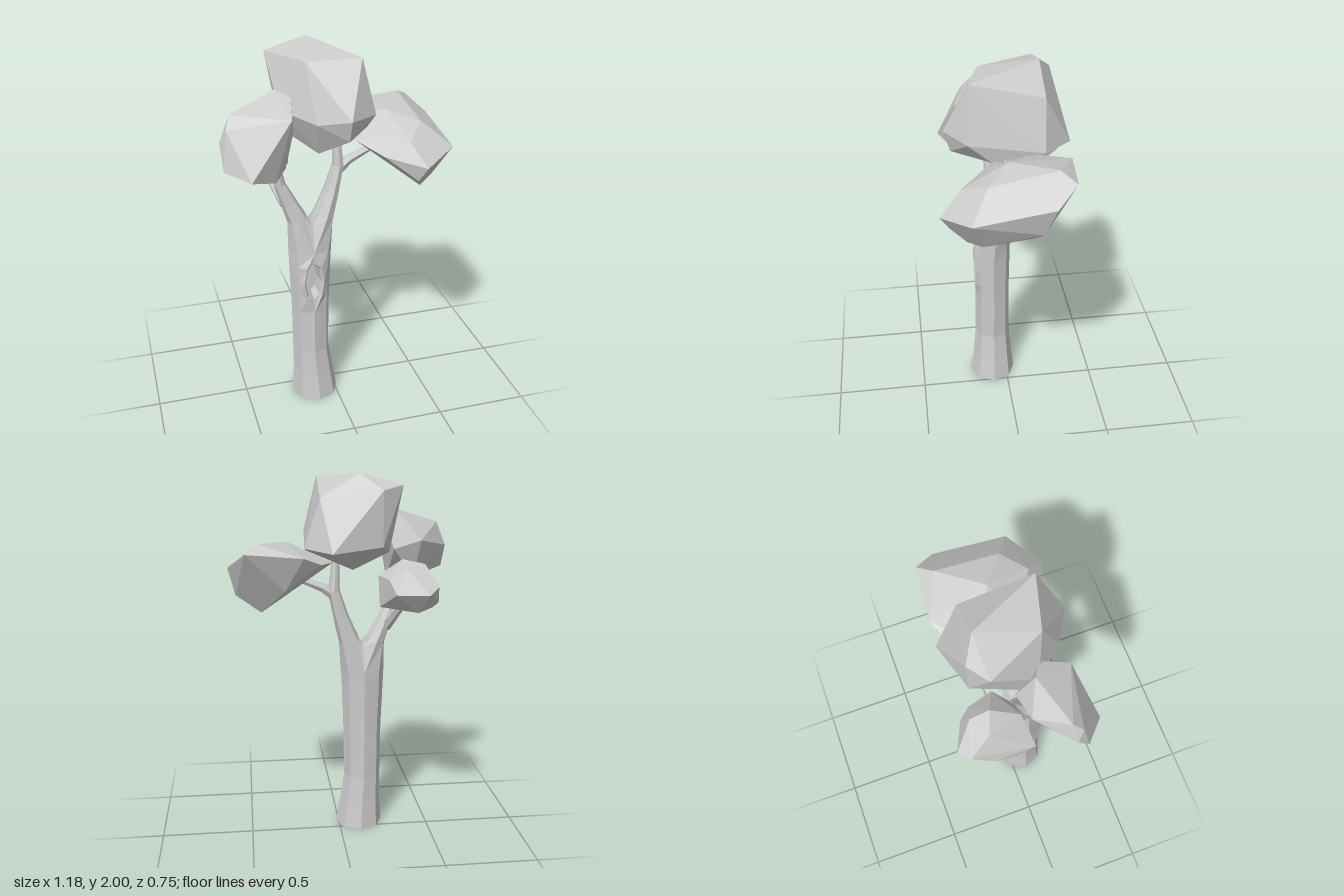
import * as THREE from 'three';
import { ConvexGeometry } from 'three/addons/geometries/ConvexGeometry.js';

const V = (x, y, z) => new THREE.Vector3(x, y, z);
const material = new THREE.MeshStandardMaterial({ color: 0xcccccc, flatShading: true });

// Skin a list of equal-length rings; optional gap in the last column, optional end caps
function loft(rings, { gap = false, capStart = false, capEnd = true } = {}) {
  const pos = [];
  const tri = (a, b, c) => pos.push(...a.toArray(), ...b.toArray(), ...c.toArray());
  const n = rings[0].length;
  for (let r = 0; r < rings.length - 1; r++) {
    for (let i = 0; i < (gap ? n - 1 : n); i++) {
      const j = (i + 1) % n, lo = rings[r], hi = rings[r + 1];
      tri(lo[i], lo[j], hi[j]);
      tri(lo[i], hi[j], hi[i]);
    }
  }
  const first = rings[0], last = rings[rings.length - 1];
  for (let i = 1; i < n - 1; i++) {
    if (capStart) tri(first[0], first[i + 1], first[i]);
    if (capEnd) tri(last[0], last[i], last[i + 1]);
  }
  const g = new THREE.BufferGeometry();
  g.setAttribute('position', new THREE.Float32BufferAttribute(pos, 3));
  g.computeVertexNormals();
  return g;
}

// Rings square to a path of stations [x, y, z, rx, rz]
function limbRings(stations, sides) {
  const p = stations.map(s => V(s[0], s[1], s[2]));
  return stations.map((s, k) => {
    const dir = p[Math.min(k + 1, p.length - 1)].clone().sub(p[Math.max(k - 1, 0)]).normalize();
    const q = new THREE.Quaternion().setFromUnitVectors(V(0, 1, 0), dir);
    return Array.from({ length: sides }, (_, i) => {
      const a = i / sides * Math.PI * 2;
      return V(s[3] * Math.sin(a), 0, (s[4] ?? s[3]) * Math.cos(a)).applyQuaternion(q).add(p[k]);
    });
  });
}

export function createModel() {
  const tree = new THREE.Group();
  tree.name = 'tree';
  const add = (name, geometry) => {
    const m = new THREE.Mesh(geometry, material);
    m.name = name;
    tree.add(m);
  };

  // Trunk: eight sides, the front edge opening by half-width w around the hollow
  const trunkRows = [ // y, cx, cz, rx, rz, w
    [0, -0.115, 0.08, 0.13, 0.13, 0],
    [0.15, -0.122, 0.077, 0.113, 0.112, 0],
    [0.3, -0.133, 0.075, 0.102, 0.1, 0],
    [0.56, -0.132, 0.073, 0.105, 0.097, 0],
    [0.66, -0.132, 0.073, 0.108, 0.098, 0.04],
    [0.75, -0.132, 0.073, 0.112, 0.1, 0.055],
    [0.84, -0.132, 0.073, 0.115, 0.102, 0.04],
    [0.92, -0.13, 0.068, 0.119, 0.099, 0],
  ];
  const trunkRings = trunkRows.map(([y, cx, cz, rx, rz, w]) => {
    const ring = [V(cx + w, y, cz + rz)];
    for (let i = 1; i < 8; i++) {
      const a = i * Math.PI / 4;
      ring.push(V(cx + rx * Math.sin(a), y, cz + rz * Math.cos(a)));
    }
    return [...ring, V(cx - w, y, cz + rz)];
  });
  add('trunk', loft(trunkRings, { gap: true, capStart: true, capEnd: false }));

  // Hollow: lens rim matching the trunk opening, then inner lip and recessed floor
  const lens = trunkRows.slice(3, 8);
  const rim = [
    ...lens.map(([y, cx, cz, , rz, w]) => V(cx + w, y, cz + rz)),
    ...lens.slice(1, 4).reverse().map(([y, cx, cz, , rz, w]) => V(cx - w, y, cz + rz)),
  ];
  const oval = (w, h, z) => rim.map((_, i) => {
    const a = i * Math.PI / 4;
    return V(-0.134 + w * Math.sin(a), 0.75 - h * Math.cos(a), z);
  });
  add('trunkHollow', loft([rim, oval(0.044, 0.11, 0.16), oval(0.034, 0.085, 0.09)]));

  // Main branches: each grows from half of the trunk's top ring and a shared crotch line
  const top = trunkRings[trunkRings.length - 1];
  const crotch = [0.12, 0.062, 0.005].map(z => V(-0.125, 1.065, z));
  const leftStart = [...top.slice(0, 5), ...crotch.slice().reverse()];
  const rightStart = [top[8], ...crotch, ...top.slice(4, 8)];
  add('leftBranch', loft([leftStart, ...limbRings([
    [-0.053, 1.1, 0.06, 0.056, 0.077], [-0.012, 1.22, 0.056, 0.042, 0.06],
    [0.028, 1.37, 0.052, 0.032, 0.042], [0.016, 1.6, 0.05, 0.015],
  ], 8)]));
  add('rightBranch', loft([rightStart, ...limbRings([
    [-0.2, 1.1, 0.06, 0.053, 0.075], [-0.24, 1.19, 0.057, 0.042, 0.055],
    [-0.285, 1.3, 0.06, 0.03, 0.035], [-0.31, 1.46, 0.08, 0.015],
  ], 8)]));

  // Side twigs
  add('leftTwig', loft(limbRings([
    [0.03, 1.35, 0.052, 0.034], [0.09, 1.39, 0.045, 0.025], [0.24, 1.45, 0.03, 0.014],
  ], 6)));
  add('rightTwig', loft(limbRings([
    [-0.25, 1.17, 0.04, 0.032], [-0.3, 1.27, -0.035, 0.025], [-0.35, 1.36, -0.12, 0.014],
  ], 6)));

  // Faceted leaf clumps as convex hulls
  const clumps = {
    topLeaves: [
      [-0.3, 1.94, -0.16], [-0.08, 2, -0.165], [0.105, 1.965, 0.2], [-0.16, 1.945, 0.13], [0.12, 1.88, -0.17],
      [-0.19, 1.92, -0.235], [0.2, 1.63, -0.16], [0.175, 1.68, 0.215], [0.02, 1.69, 0.325], [0.02, 1.58, 0.29],
      [-0.13, 1.66, 0.24], [-0.28, 1.7, 0.08], [-0.1, 1.48, 0.15], [-0.06, 1.5, -0.06], [0.07, 1.62, -0.305],
      [-0.19, 1.64, -0.23], [-0.26, 1.58, 0], [0.17, 1.58, 0.1],
    ],
    leftLeaves: [
      [0.05, 1.55, -0.11], [0.12, 1.56, -0.245], [0.28, 1.64, 0.03], [0.43, 1.66, -0.19], [0.21, 1.6, -0.29],
      [0.5, 1.62, -0.26], [0.585, 1.54, -0.155], [0.585, 1.48, 0.24], [0.44, 1.6, 0.15], [0.34, 1.54, 0.27],
      [0.4, 1.43, 0.375], [0.22, 1.46, 0.24], [0.41, 1.29, 0.25], [0.42, 1.29, -0.08], [0.55, 1.39, -0.1],
      [0.1, 1.52, 0.12], [0.3, 1.42, -0.2], [0.5, 1.315, 0.18], [0.37, 1.35, 0.33],
    ],
    rightLeaves: [
      [-0.54, 1.72, 0.14], [-0.3, 1.8, 0.05], [-0.225, 1.775, 0.1], [-0.24, 1.62, 0.2], [-0.255, 1.7, 0.245],
      [-0.27, 1.42, 0.15], [-0.34, 1.385, 0.24], [-0.565, 1.66, 0.19], [-0.59, 1.465, 0.225], [-0.595, 1.59, 0.155],
      [-0.475, 1.435, 0.33], [-0.28, 1.6, -0.035], [-0.43, 1.64, -0.01], [-0.4, 1.44, 0.04], [-0.47, 1.43, 0.18],
    ],
    backLeaves: [
      [-0.405, 1.42, -0.375], [-0.25, 1.41, -0.305], [-0.22, 1.48, -0.25], [-0.46, 1.45, -0.32],
      [-0.485, 1.35, -0.21], [-0.485, 1.36, 0], [-0.48, 1.3, -0.1], [-0.35, 1.295, -0.11],
      [-0.19, 1.32, -0.15], [-0.185, 1.48, -0.12], [-0.3, 1.54, -0.27], [-0.41, 1.55, -0.21],
      [-0.3, 1.57, -0.17], [-0.35, 1.5, -0.03], [-0.25, 1.36, -0.02], [-0.37, 1.31, -0.27],
    ],
  };
  for (const [name, points] of Object.entries(clumps)) {
    add(name, new ConvexGeometry(points.map(p => V(...p))));
  }
  return tree;
}
